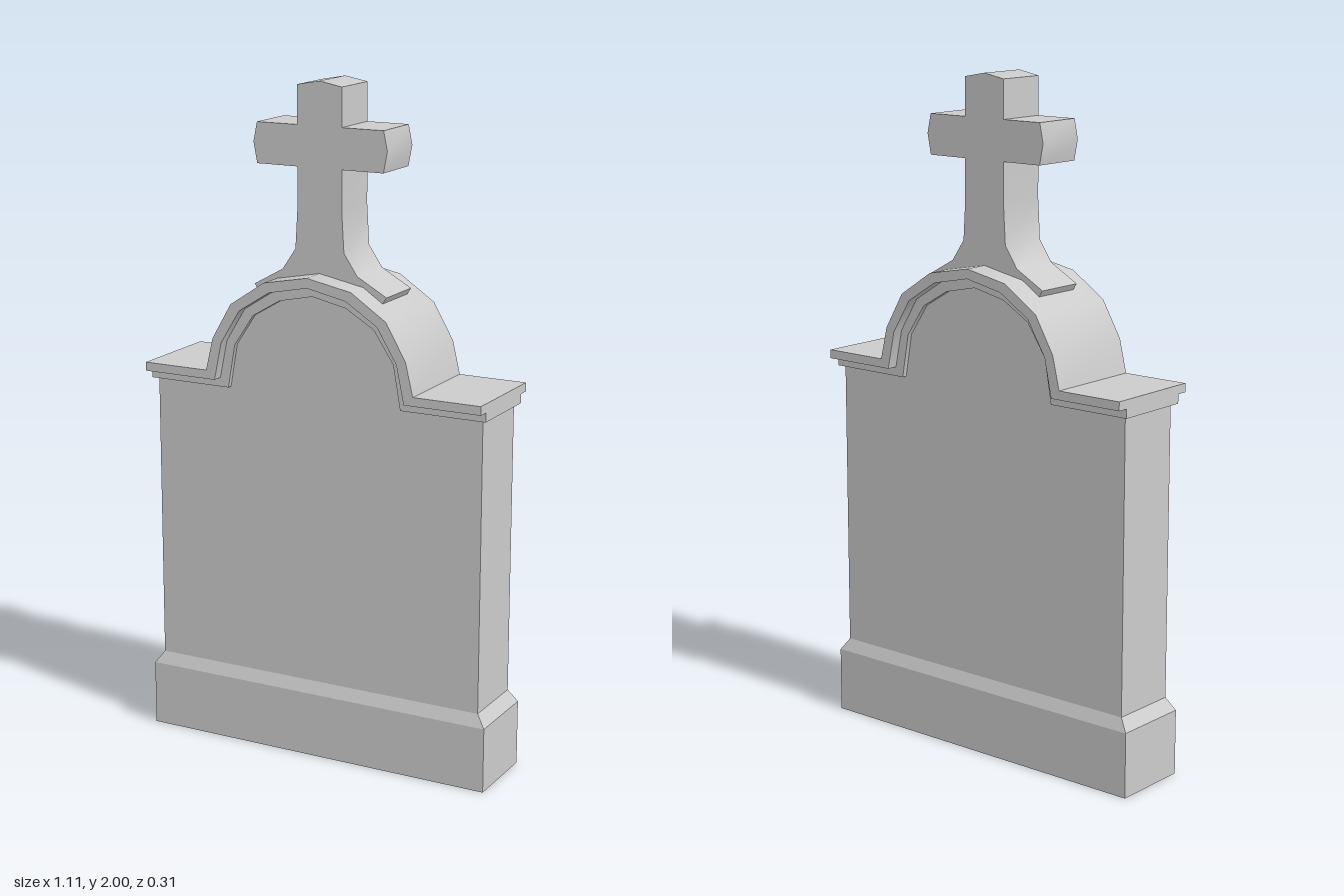
import * as THREE from 'three';
import { toCreasedNormals } from 'three/addons/utils/BufferGeometryUtils.js';

const stone = new THREE.MeshStandardMaterial({ color: 0xcccccc, side: THREE.DoubleSide });

// Right halves of the three nested arch lines, from shoulder to crown
const innerArch = [[0.28, 1.1], [0.257, 1.23], [0.195, 1.323], [0.107, 1.375], [0, 1.398]];
const middleArch = [[0.307, 1.127], [0.283, 1.24], [0.222, 1.34], [0.123, 1.403], [0, 1.428]];
const outerArch = [[0.335, 1.153], [0.312, 1.25], [0.25, 1.357], [0.14, 1.43], [0, 1.457]];

// Mirrors a half line that ends on x = 0 into a full line, right to left
const mirrored = (half) => [...half, ...half.slice(0, -1).reverse().map(([x, y]) => [-x, y])];

// Extrudes an outline symmetrically in z
function slab(points, halfDepth) {
  const shape = new THREE.Shape(points.map(([x, y]) => new THREE.Vector2(x, y)));
  const geo = new THREE.ExtrudeGeometry(shape, { depth: 2 * halfDepth, bevelEnabled: false });
  return geo.translate(0, 0, -halfDepth);
}

// Removes the triangles that lie flat at height y
function openAt(geo, y) {
  const p = geo.attributes.position.array;
  const kept = [];
  for (let i = 0; i < p.length; i += 9) {
    const flat = [1, 4, 7].every((k) => Math.abs(p[i + k] - y) < 1e-4);
    if (!flat) kept.push(...p.slice(i, i + 9));
  }
  const out = new THREE.BufferGeometry();
  out.setAttribute('position', new THREE.Float32BufferAttribute(kept, 3));
  return out;
}

// Open-bottomed plinth: rectangular rings [halfWidth, y, halfDepth] joined by walls
function plinthGeometry(rings) {
  const pos = [];
  const corner = ([w, y, d], k) => [[w, y, d], [w, y, -d], [-w, y, -d], [-w, y, d]][k % 4];
  for (let r = 0; r < rings.length - 1; r++) {
    for (let k = 0; k < 4; k++) {
      const a = corner(rings[r], k), b = corner(rings[r], k + 1);
      const c = corner(rings[r + 1], k + 1), d = corner(rings[r + 1], k);
      pos.push(...a, ...b, ...c, ...a, ...c, ...d);
    }
  }
  const geo = new THREE.BufferGeometry();
  geo.setAttribute('position', new THREE.Float32BufferAttribute(pos, 3));
  geo.computeVertexNormals();
  return geo;
}

// Moulding strip between two arch lines, with flat shoulders out to the ends
function mouldingGeometry(low, high, end, halfDepth) {
  const line = (arch) => mirrored([[end, arch[0][1]], ...arch]);
  return slab([...line(high), ...line(low).reverse()], halfDepth);
}

export function createModel() {
  const group = new THREE.Group();
  const add = (name, geo) => {
    const mesh = new THREE.Mesh(geo, stone);
    mesh.name = name;
    group.add(mesh);
  };
  const smooth = (geo) => toCreasedNormals(geo, 0.75);

  // Plinth with sloped top edge
  add('plinth', plinthGeometry([[0.555, 0, 0.12], [0.555, 0.195, 0.12], [0.528, 0.232, 0.105]]));

  // Round-topped stone, open into the plinth
  const body = [[0.528, 0.232], [0.528, 1.1], ...innerArch];
  add('headstone', smooth(openAt(slab(mirrored(body), 0.105), 0.232)));

  // Two-step moulding over the shoulders and arch
  add('lowerMoulding', smooth(mouldingGeometry(innerArch, middleArch, 0.543, 0.12)));
  add('upperMoulding', smooth(mouldingGeometry(middleArch, outerArch, 0.543, 0.153)));

  // Cross with flared foot resting on the arch
  const cross = [
    [0, 1.43], [0.13, 1.425], [0.2, 1.388], [0.213, 1.408], [0.12, 1.46], [0.078, 1.522], [0.071, 1.64],
    [0.071, 1.757], [0.201, 1.757], [0.213, 1.818], [0.201, 1.875], [0.071, 1.875], [0.071, 1.987], [0, 2],
  ];
  const left = cross.slice(1, -1).reverse().map(([x, y]) => [-x, y]);
  add('cross', smooth(slab([...cross, ...left], 0.077)));

  return group;
}
